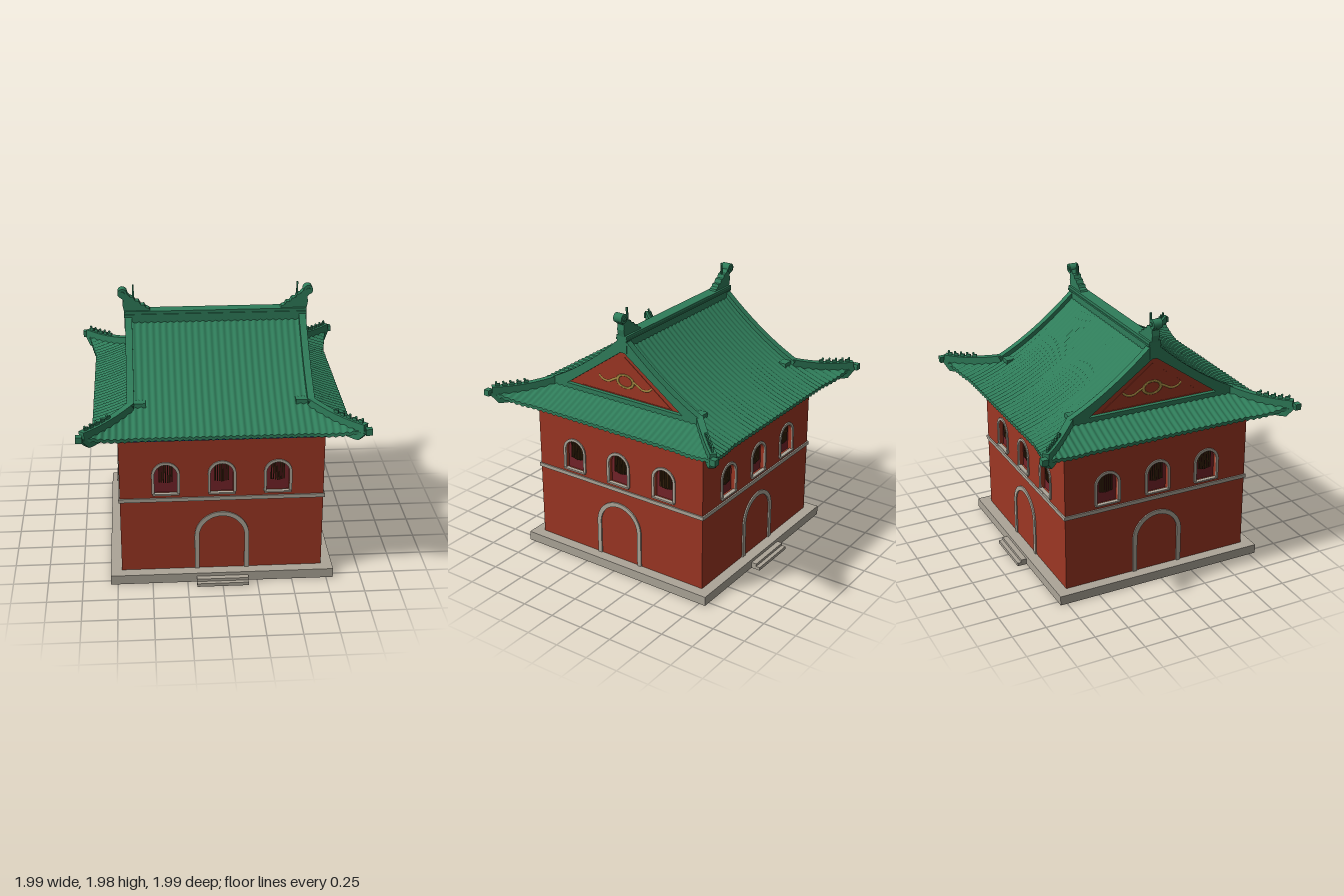
import * as THREE from 'three';

const mat = (name, color, side = THREE.FrontSide) => {
  const m = new THREE.MeshStandardMaterial({ color, side });
  m.name = name;
  return m;
};

export function createModel() {
  const green = mat('green glazed tile', 0x2f7d5a, THREE.DoubleSide);
  const red = mat('red plaster', 0x9c3623);
  const stone = mat('pale stone', 0xaca598);
  const maroon = mat('maroon shutter', 0x742329);
  const brown = mat('dark lattice', 0x40280f);
  const blue = mat('blue frieze', 0x224a8e);
  const gold = mat('gold paint', 0xa88e44);
  const frieze = mat('green paint', 0x2c7a5c);

  const model = new THREE.Group();
  model.name = 'gateTower';
  const add = (parent, name, geo, material, x = 0, y = 0, z = 0) => {
    const m = new THREE.Mesh(geo, material);
    m.name = name;
    m.position.set(x, y, z);
    parent.add(m);
    return m;
  };
  const group = (name, ry = 0, parent = model) => {
    const g = new THREE.Group();
    g.name = name;
    g.rotation.y = ry;
    parent.add(g);
    return g;
  };
  const box = (w, h, d) => new THREE.BoxGeometry(w, h, d);
  const extrude = (shape, depth) => new THREE.ExtrudeGeometry(shape, { depth, bevelEnabled: false, curveSegments: 20 });
  const poly = pts => new THREE.Shape(pts.map(p => new THREE.Vector2(...p)));

  // Arched outlines
  const arch = (cx, r, y0, yc, Type = THREE.Shape) => {
    const s = new Type();
    s.moveTo(cx - r, y0);
    s.lineTo(cx + r, y0);
    s.lineTo(cx + r, yc);
    s.absarc(cx, yc, r, 0, Math.PI, false);
    s.lineTo(cx - r, y0);
    return s;
  };
  const archFrame = (R, r, y0, yc) => {
    const s = new THREE.Shape();
    s.moveTo(-R, y0);
    s.lineTo(-r, y0);
    s.lineTo(-r, yc);
    s.absarc(0, yc, r, Math.PI, 0, true);
    s.lineTo(r, y0);
    s.lineTo(R, y0);
    s.lineTo(R, yc);
    s.absarc(0, yc, R, 0, Math.PI, false);
    return s;
  };

  // Stone base, floor, steps and passage walls
  const ring = poly([[-0.8, -0.8], [0.8, -0.8], [0.8, 0.8], [-0.8, 0.8]]);
  ring.holes.push(poly([[-0.71, -0.71], [-0.71, 0.71], [0.71, 0.71], [0.71, -0.71]]));
  add(model, 'base', extrude(ring, 0.07).rotateX(-Math.PI / 2), stone);
  add(model, 'floor', box(1.38, 0.03, 1.38), stone, 0, 0.055);
  for (const s of [-1, 1]) {
    add(model, 'lowerStep', box(0.37, 0.025, 0.08), stone, 0, 0.0125, s * 0.83);
    add(model, 'upperStep', box(0.37, 0.045, 0.05), stone, 0, 0.0225, s * 0.815);
    add(model, 'passageWall', box(0.04, 0.5, 1.38), red, s * 0.185, 0.25);
  }

  // Four equal facades
  const windowX = [-0.395, 0, 0.395];
  const wallShape = poly([[-0.72, 0], [0.72, 0], [0.72, 1.19], [-0.72, 1.19]]);
  for (const x of windowX) wallShape.holes.push(arch(x, 0.08, 0.68, 0.83, THREE.Path));
  for (let k = 0; k < 4; k++) {
    const f = group('facade', k * Math.PI / 2);
    add(f, 'wall', extrude(wallShape, 0.04), red, 0, 0, 0.68);
    add(f, 'doorFrame', extrude(archFrame(0.195, 0.162, 0.07, 0.333), 0.012), stone, 0, 0, 0.718);
    add(f, 'stringCourse', box(1.46, 0.028, 0.02), stone, 0, 0.636, 0.72);
    for (const x of windowX) {
      const w = group('window', 0, f);
      w.position.x = x;
      add(w, 'windowFrame', extrude(archFrame(0.1, 0.08, 0.685, 0.83), 0.012), stone, 0, 0, 0.717);
      add(w, 'windowSill', box(0.19, 0.012, 0.03), stone, 0, 0.68, 0.722);
      add(w, 'shutter', box(0.17, 0.25, 0.008), maroon, 0, 0.8, 0.686);
      for (let i = -3; i <= 3; i++)
        add(w, 'latticeBar', box(0.009, 0.15 - Math.abs(i) * 0.006, 0.008), brown, i * 0.015, 0.83, 0.696);
    }
    // Painted frieze
    add(f, 'friezeBand', box(1.47, 0.09, 0.035), blue, 0, 1.143, 0.718);
    for (let i = -2; i <= 2; i++) {
      const x = i * 0.25;
      add(f, 'friezePanel', extrude(poly([[-0.085, 0], [-0.045, -0.026], [0.045, -0.026], [0.085, 0], [0.045, 0.018], [-0.045, 0.018]]), 0.003), frieze, x, 1.132, 0.735);
      add(f, 'friezeGold', box(0.06, 0.009, 0.003), gold, x + 0.02, 1.166, 0.7365);
      for (const s of [-1, 1])
        add(f, 'friezeDot', box(0.02, 0.008, 0.003), gold, x + s * 0.09, 1.142 + s * 0.01, 0.7375);
    }
  }

  // Roof: concave profile, eaves flaring outward and upward to the corners
  const profile = d => 1.72 - 0.703 * (d - 0.03) + 0.365 * (d - 0.03) * (d - 0.62);
  const halfWidth = s => 0.62 + 0.33 * Math.max(0, s);
  const roofPoint = (s, x) => {
    const t = Math.max(0, (Math.abs(x) - 0.62) / 0.33);
    const d = 0.62 + 0.27 * s;
    return [x, profile(d) + 0.05 * t * t, d + 0.06 * t];
  };
  const grid = (rows, cols, pointAt) => {
    const pos = [], idx = [];
    for (let r = 0; r < rows; r++)
      for (let c = 0; c < cols; c++) {
        pos.push(...pointAt(r, c));
        if (r + 1 < rows && c + 1 < cols) {
          const a = r * cols + c, b = a + cols;
          idx.push(a, b, a + 1, b, b + 1, a + 1);
        }
      }
    const g = new THREE.BufferGeometry();
    g.setAttribute('position', new THREE.Float32BufferAttribute(pos, 3));
    g.setIndex(idx);
    g.computeVertexNormals();
    return g;
  };
  const COLS = 253;
  const tilePoint = (s, c) => {
    const x = (c / (COLS - 1) * 2 - 1) * 0.95, h = halfWidth(s);
    const p = roofPoint(s, Math.max(-h, Math.min(h, x)));
    p[1] += 0.005 * Math.cos(x * Math.PI * 2 / 0.046);
    return p;
  };
  for (let k = 0; k < 4; k++) {
    const g = group(k % 2 ? 'sideRoof' : 'mainRoof', k * Math.PI / 2);
    const start = k % 2 ? 0 : -2.24, rows = k % 2 ? 7 : 15;
    add(g, 'tiles', grid(rows, COLS, (r, c) => tilePoint(start + (1 - start) * r / (rows - 1), c)), green);
    add(g, 'eaveEdge', grid(2, COLS, (r, c) => {
      const p = tilePoint(1, c);
      return [p[0], p[1] - 0.024 * r, p[2]];
    }), green);
    add(g, 'soffit', grid(2, COLS, (r, c) => {
      const p = tilePoint(1, c);
      return r ? [Math.max(-0.72, Math.min(0.72, p[0])), 1.183, 0.72] : [p[0], p[1] - 0.024, p[2]];
    }), green);

    // Hip ridge, corner beam and small roof figures, built along the diagonal
    const corner = group('corner', k * Math.PI / 2 + Math.PI / 4);
    const loft = stations => {
      const g = grid(stations.length, 5, (r, c) => {
        const [d, lo, hi, w] = stations[r];
        return [[-w, lo], [-w, hi], [w, hi], [w, lo], [-w, lo]].map(([x, y]) => [x, y, d * Math.SQRT2])[c];
      }).toNonIndexed();
      g.computeVertexNormals();
      return g;
    };
    const hip = [];
    for (let i = 0; i <= 8; i++) {
      const h = halfWidth(i / 8), y = roofPoint(i / 8, h)[1];
      hip.push([h, y - 0.02, y + 0.042, 0.024]);
    }
    add(corner, 'hipRidge', loft(hip), green);
    add(corner, 'hipRidgeEnd', box(0.048, 0.062, 0.01), green, 0, 1.261, 0.95 * Math.SQRT2);
    add(corner, 'cornerBeam', loft([[0.7, 1.18, 1.2, 0.025], [0.9, 1.165, 1.21, 0.025], [0.925, 1.168, 1.22, 0.025], [0.96, 1.225, 1.25, 0.02]]), green);
    add(corner, 'beamHead', box(0.045, 0.045, 0.045), green, 0, 1.247, 0.972 * Math.SQRT2).rotation.y = Math.PI / 4;
    for (let i = 0; i < 5; i++) {
      const s = 0.48 + i * 0.11, h = halfWidth(s), y = roofPoint(s, h)[1] + 0.042;
      add(corner, 'roofFigure', box(0.013, 0.022, 0.034), green, 0, y + 0.009, h * Math.SQRT2);
      add(corner, 'figureHead', new THREE.SphereGeometry(0.009, 8, 6), green, 0, y + 0.027, h * Math.SQRT2 + 0.011);
    }
  }

  // Gables
  const outline = [];
  for (let i = -16; i <= 16; i++) {
    const z = i / 16 * 0.65;
    outline.push([z, profile(Math.max(0.02, Math.abs(z))) + 0.042]);
  }
  outline.push([0.62, 1.275], [-0.62, 1.275]);
  const verge = poly(outline);
  verge.holes.push(poly([[-0.5, 1.325], [0, 1.68], [0.5, 1.325]]));
  const border = poly([[-0.4, 1.327], [0.4, 1.327], [0, 1.625]]);
  border.holes.push(poly([[-0.385, 1.332], [0, 1.618], [0.385, 1.332]]));
  for (const side of [1, -1]) {
    const g = group('gable', side * Math.PI / 2);
    add(g, 'verge', extrude(verge, 0.05), green, 0, 0, 0.6);
    add(g, 'gableWall', extrude(poly([[-0.52, 1.31], [0.52, 1.31], [0, 1.69]]), 0.01), red, 0, 0, 0.61);
    add(g, 'gableBorder', extrude(border, 0.004), red, 0, 0, 0.62);
    add(g, 'gableRing', new THREE.TorusGeometry(0.062, 0.011, 6, 28).scale(1.1, 0.75, 0.3), gold, 0, 1.445, 0.622);
    for (const s of [-1, 1]) {
      const tail = new THREE.CatmullRomCurve3([[0.06, 1.46], [0.1, 1.44], [0.15, 1.415], [0.2, 1.422], [0.228, 1.445]]
        .map(([x, y]) => new THREE.Vector3(x * s, y, 0)));
      add(g, 'gableScroll', new THREE.TubeGeometry(tail, 16, 0.008, 5).scale(1, 1, 0.35), gold, 0, 0, 0.622);
      add(g, 'vergeFoot', box(0.08, 0.04, 0.09), green, s * 0.58, 1.315, 0.565);
    }
  }

  // Main ridge with an ornament at each end
  add(model, 'ridge', box(1.31, 0.11, 0.08), green, 0, 1.725);
  add(model, 'ridgeMoulding', box(1.31, 0.012, 0.094), green, 0, 1.768);
  add(model, 'ridgeCap', box(1.31, 0.02, 0.088), green, 0, 1.787);
  const finial = poly([[0.465, 1.79], [0.475, 1.81], [0.5, 1.82], [0.51, 1.84], [0.535, 1.84], [0.55, 1.868], [0.575, 1.87],
    [0.585, 1.895], [0.61, 1.9], [0.635, 1.93], [0.68, 1.93], [0.69, 1.905], [0.66, 1.88], [0.665, 1.84], [0.655, 1.79]]);
  for (const ry of [0, Math.PI]) {
    const g = group('ridgeOrnament', ry);
    add(g, 'ornamentBody', extrude(finial, 0.056), green, 0, 0, -0.028);
    add(g, 'ornamentCurl', new THREE.CylinderGeometry(0.034, 0.034, 0.07, 18).rotateX(Math.PI / 2), green, 0.665, 1.928);
    add(g, 'ornamentCurlEye', new THREE.CylinderGeometry(0.016, 0.016, 0.084, 12).rotateX(Math.PI / 2), green, 0.665, 1.928);
    add(g, 'ornamentSpike', box(0.012, 0.1, 0.012), green, 0.588, 1.932);
  }
  return model;
}
